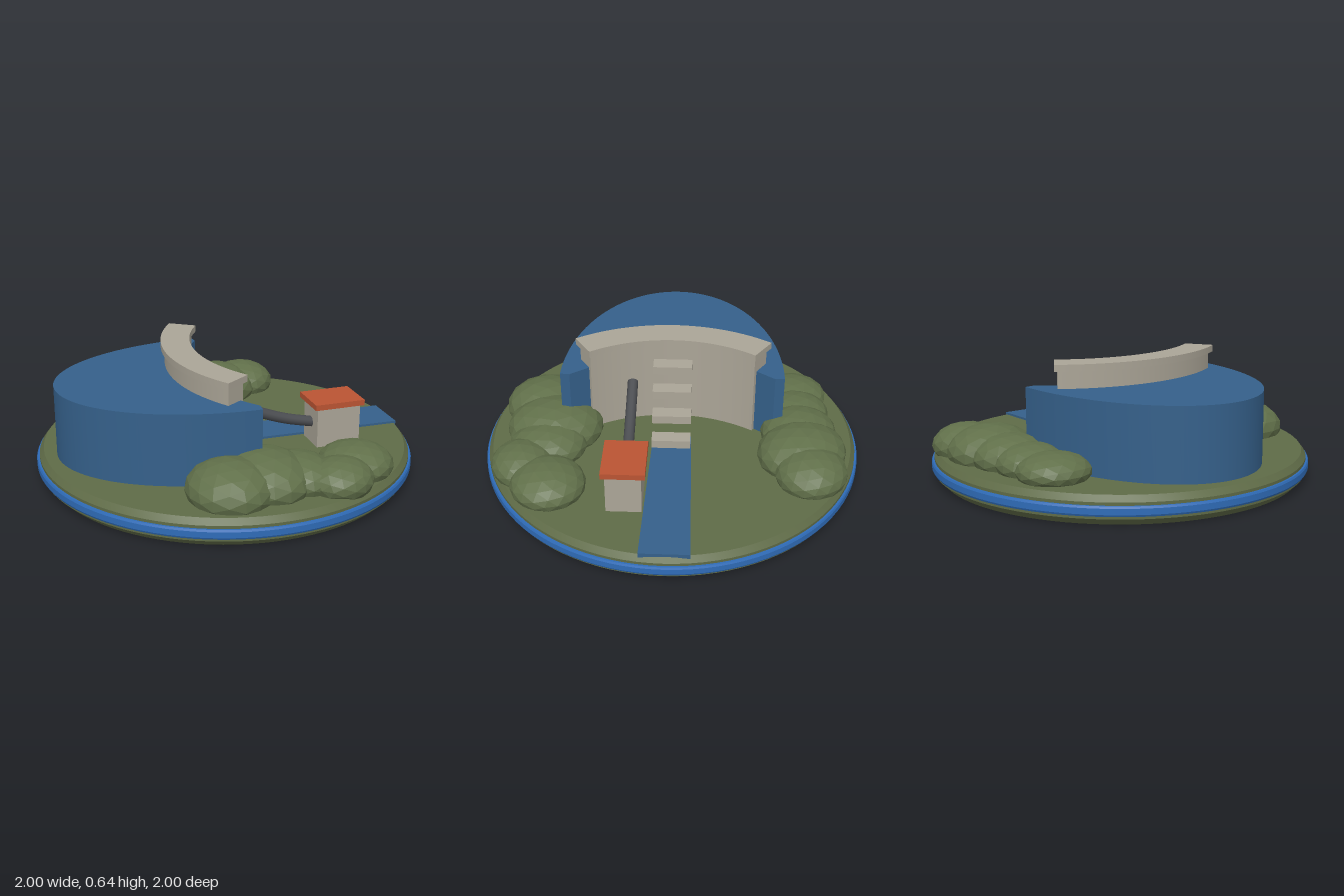
import * as THREE from 'three';
import { toCreasedNormals } from 'three/addons/utils/BufferGeometryUtils.js';

const mat = (name, color, extra = {}) => {
  const m = new THREE.MeshStandardMaterial({ color, ...extra });
  m.name = name;
  return m;
};

export function createModel() {
  const grass = mat('grass', 0x5f6b47);
  const foliage = mat('foliage', 0x61704a, { flatShading: true });
  const water = mat('water', 0x35608a);
  const trim = mat('rim blue', 0x2f6cb8);
  const concrete = mat('concrete', 0xaba597);
  const roofRed = mat('roof red', 0xbb5433);
  const steel = mat('pipe steel', 0x4a4c50);

  const model = new THREE.Group();
  model.name = 'damDiorama';
  const add = (name, geometry, material, x = 0, y = 0, z = 0, parent = model) => {
    const mesh = new THREE.Mesh(geometry, material);
    mesh.name = name;
    mesh.position.set(x, y, z);
    parent.add(mesh);
    return mesh;
  };
  const lathe = (pts) => toCreasedNormals(
    new THREE.LatheGeometry(pts.map(([r, y]) => new THREE.Vector2(r, y)), 96), 0.4);
  // Upright prism over a plan outline
  const prism = (shape, y0, y1) => {
    const g = new THREE.ExtrudeGeometry(shape, { depth: y1 - y0, bevelEnabled: false, curveSegments: 40 });
    g.rotateX(-Math.PI / 2).translate(0, y0, 0);
    return toCreasedNormals(g, 0.4);
  };

  // Round base: green underside, blue rim, green lawn
  const GROUND = 0.145;
  add('baseUnderside', lathe([[0, 0], [0.95, 0], [0.985, 0.035], [0.985, 0.05]]), grass);
  add('baseRim', lathe([[0.98, 0.05], [0.995, 0.05], [1, 0.06], [1, 0.09], [0.995, 0.1], [0.98, 0.1]]), trim);
  add('lawn', lathe([[0.985, 0.1], [0.985, 0.115], [0.962, GROUND], [0, GROUND]]), grass);

  // Reservoir: half ellipse with its front hollowed by the dam arc
  const CX = 0.615;
  const a = 0.605;
  const pool = new THREE.Shape();
  pool.moveTo(0, 0.59);
  pool.absellipse(0, 0, 0.9, 0.59, Math.PI / 2, Math.PI * 1.5, false);
  pool.lineTo(0.005, -0.54);
  pool.absarc(CX, 0, 0.81, Math.PI + a, Math.PI - a, true);
  pool.lineTo(0.005, 0.54);
  add('reservoir', prism(pool, 0.13, 0.52), water);

  // Curved dam wall and coping
  const arcBand = (inner, outer, half) => {
    const s = new THREE.Shape();
    s.absarc(CX, 0, outer, Math.PI - half, Math.PI + half, false);
    s.absarc(CX, 0, inner, Math.PI + half, Math.PI - half, true);
    return s;
  };
  add('damWall', prism(arcBand(0.79, 0.905, 0.578), 0.13, 0.61), concrete);
  add('damCoping', prism(arcBand(0.77, 0.925, 0.595), 0.61, 0.645), concrete);

  // Spillway steps descending from the dam
  const steps = new THREE.Group();
  steps.name = 'spillwaySteps';
  model.add(steps);
  for (let i = 0; i < 4; i++) {
    add('step', new THREE.BoxGeometry(0.08, 0.046, 0.206), concrete,
      -0.108 + i * 0.072, 0.506 - i * 0.108, 0, steps);
  }

  // Outflow channel widening towards the rim
  const channel = new THREE.Shape();
  channel.moveTo(0.04, -0.1);
  channel.lineTo(0.965, -0.122);
  channel.lineTo(0.965, 0.128);
  channel.lineTo(0.04, 0.105);
  add('outflowChannel', prism(channel, 0.133, 0.157), water);

  // Powerhouse
  add('powerhouseWalls', new THREE.BoxGeometry(0.24, 0.23, 0.18), concrete, 0.535, 0.25, 0.212);
  add('powerhouseRoof', new THREE.BoxGeometry(0.275, 0.03, 0.22), roofRed, 0.533, 0.375, 0.212);

  // Penstock pipe with capped upper end
  const path = new THREE.CatmullRomCurve3(
    [[-0.073, 0.432], [0, 0.4], [0.13, 0.345], [0.27, 0.295], [0.44, 0.255]]
      .map(([x, y]) => new THREE.Vector3(x, y, 0.212)));
  add('penstock', new THREE.TubeGeometry(path, 24, 0.028, 14), steel);
  const cap = add('penstockCap', new THREE.CircleGeometry(0.028, 14), steel, -0.073, 0.432, 0.212);
  cap.lookAt(path.getPoint(0).sub(path.getTangent(0)));

  // Shrubs: x, z, radius x, radius z, top height
  const shrubs = (name, list) => {
    const group = new THREE.Group();
    group.name = name;
    model.add(group);
    list.forEach(([x, z, rx, rz, top], i) => {
      const m = add('shrub', new THREE.IcosahedronGeometry(1, 2), foliage, x, 0.18, z, group);
      m.scale.set(rx, top - 0.18, rz);
      m.rotation.y = i * 0.15;
    });
  };
  shrubs('frontShrubs', [
    [-0.2, 0.69, 0.22, 0.235, 0.32], [0, 0.63, 0.23, 0.26, 0.322], [0.17, 0.65, 0.18, 0.21, 0.29],
    [0.34, 0.76, 0.175, 0.165, 0.285], [0.49, 0.61, 0.195, 0.195, 0.287],
  ]);
  shrubs('rearShrubs', [
    [-0.35, -0.66, 0.18, 0.19, 0.27], [-0.17, -0.67, 0.18, 0.185, 0.28], [0.0, -0.68, 0.2, 0.205, 0.295],
    [0.18, -0.69, 0.22, 0.24, 0.312], [0.35, -0.73, 0.185, 0.19, 0.295],
  ]);

  return model;
}
